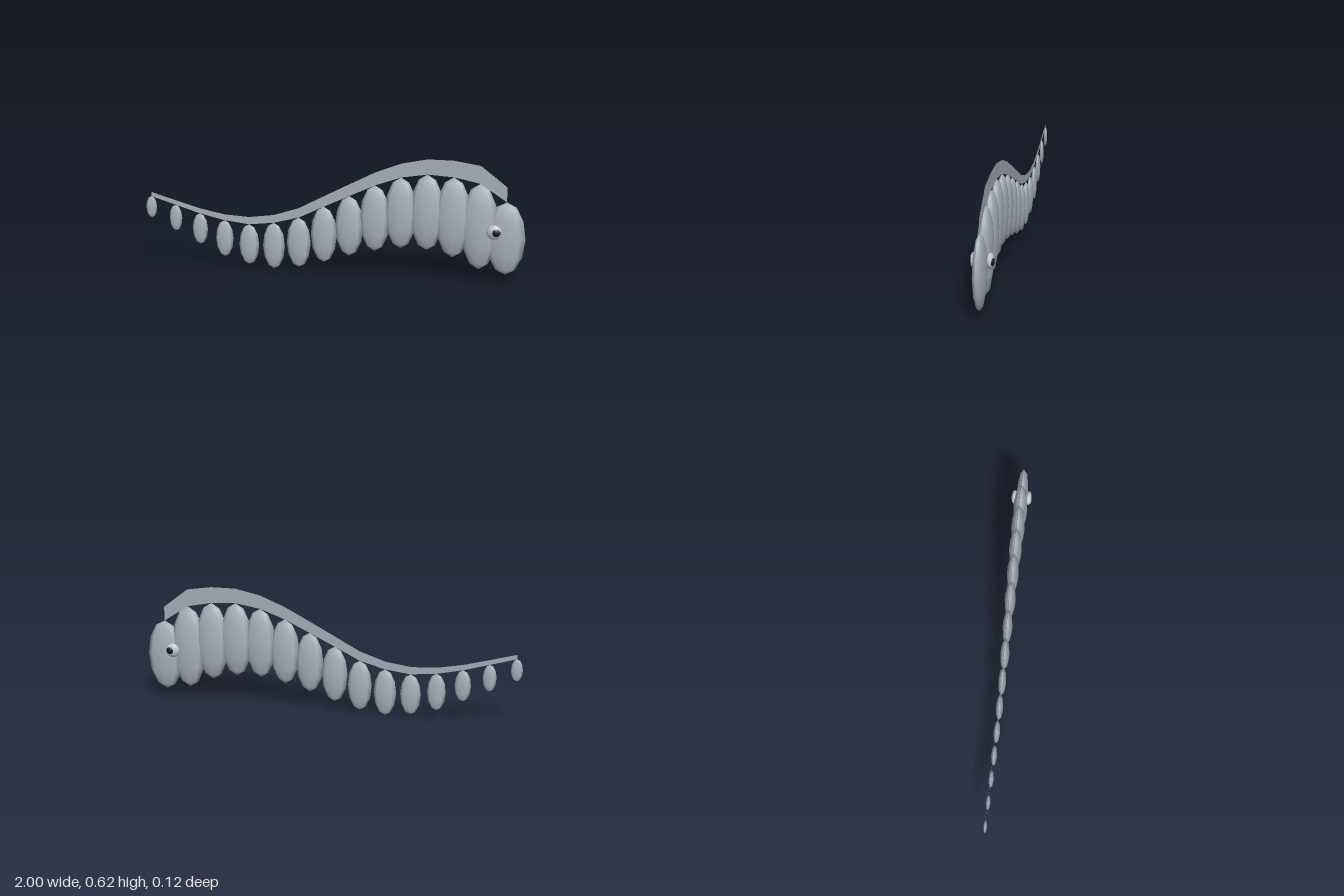
import * as THREE from 'three';

export function createModel() {
  const model = new THREE.Group();
  const mat = (name, color) => new THREE.MeshStandardMaterial({ name, color });
  const bodyMat = mat('bodyGrey', 0xa9b3bc);
  const finMat = mat('finGrey', 0xa8afb9);
  finMat.side = THREE.DoubleSide;
  const eyeMat = mat('eyeGrey', 0xc0c6cc);
  const pupilMat = mat('pupilDark', 0x1c1424);

  const ellipsoid = (name, geometry, material, position, scale) => {
    const mesh = new THREE.Mesh(geometry, material);
    mesh.name = name;
    mesh.position.set(...position);
    mesh.scale.set(...scale);
    model.add(mesh);
  };

  // Each segment from tail to head: bottom, top, half length, half width, fin height
  const segments = [
    [0.245, 0.36, 0.03, 0.009, 0.023],
    [0.18, 0.32, 0.035, 0.011, 0.025],
    [0.115, 0.28, 0.042, 0.013, 0.028],
    [0.055, 0.25, 0.048, 0.015, 0.032],
    [0.02, 0.235, 0.054, 0.017, 0.039],
    [0.004, 0.25, 0.059, 0.019, 0.042],
    [0.02, 0.285, 0.064, 0.021, 0.05],
    [0.055, 0.35, 0.069, 0.024, 0.055],
    [0.097, 0.413, 0.074, 0.026, 0.061],
    [0.13, 0.475, 0.079, 0.029, 0.067],
    [0.153, 0.522, 0.083, 0.031, 0.072],
    [0.15, 0.543, 0.087, 0.034, 0.078],
    [0.12, 0.535, 0.091, 0.036, 0.085],
    [0.065, 0.508, 0.095, 0.038, 0.091],
    [0.045, 0.42, 0.098, 0.031, 0.076],
  ];
  const xAt = (i) => -0.97 + i * 0.1337;

  // Body segments
  const segmentGeo = new THREE.SphereGeometry(1, 8, 6);
  segments.forEach(([low, high, rx, rz], i) => {
    ellipsoid(i === segments.length - 1 ? 'head' : 'bodySegment' + (i + 1), segmentGeo, bodyMat,
      [xAt(i), (low + high) / 2, 0], [rx, (high - low) / 2, rz]);
  });

  // Flat dorsal fin that follows the tops of the segments
  const lower = segments.map((s, i) => new THREE.Vector2(xAt(i), s[1]));
  const upper = segments.map((s, i) => new THREE.Vector2(xAt(i), s[1] + s[4]));
  const fin = new THREE.Mesh(
    new THREE.ShapeGeometry(new THREE.Shape([...lower, ...upper.reverse()])), finMat);
  fin.name = 'dorsalFin';
  model.add(fin);

  // Eyes and pupils on both sides
  const eyeGeo = new THREE.SphereGeometry(1, 14, 10);
  for (const side of [1, -1]) {
    const prefix = side > 0 ? 'front' : 'back';
    ellipsoid(prefix + 'Eye', eyeGeo, eyeMat, [0.846, 0.271, 0.038 * side], [0.038, 0.037, 0.018]);
    ellipsoid(prefix + 'Pupil', eyeGeo, pupilMat, [0.854, 0.271, 0.047 * side], [0.024, 0.021, 0.012]);
  }
  return model;
}
